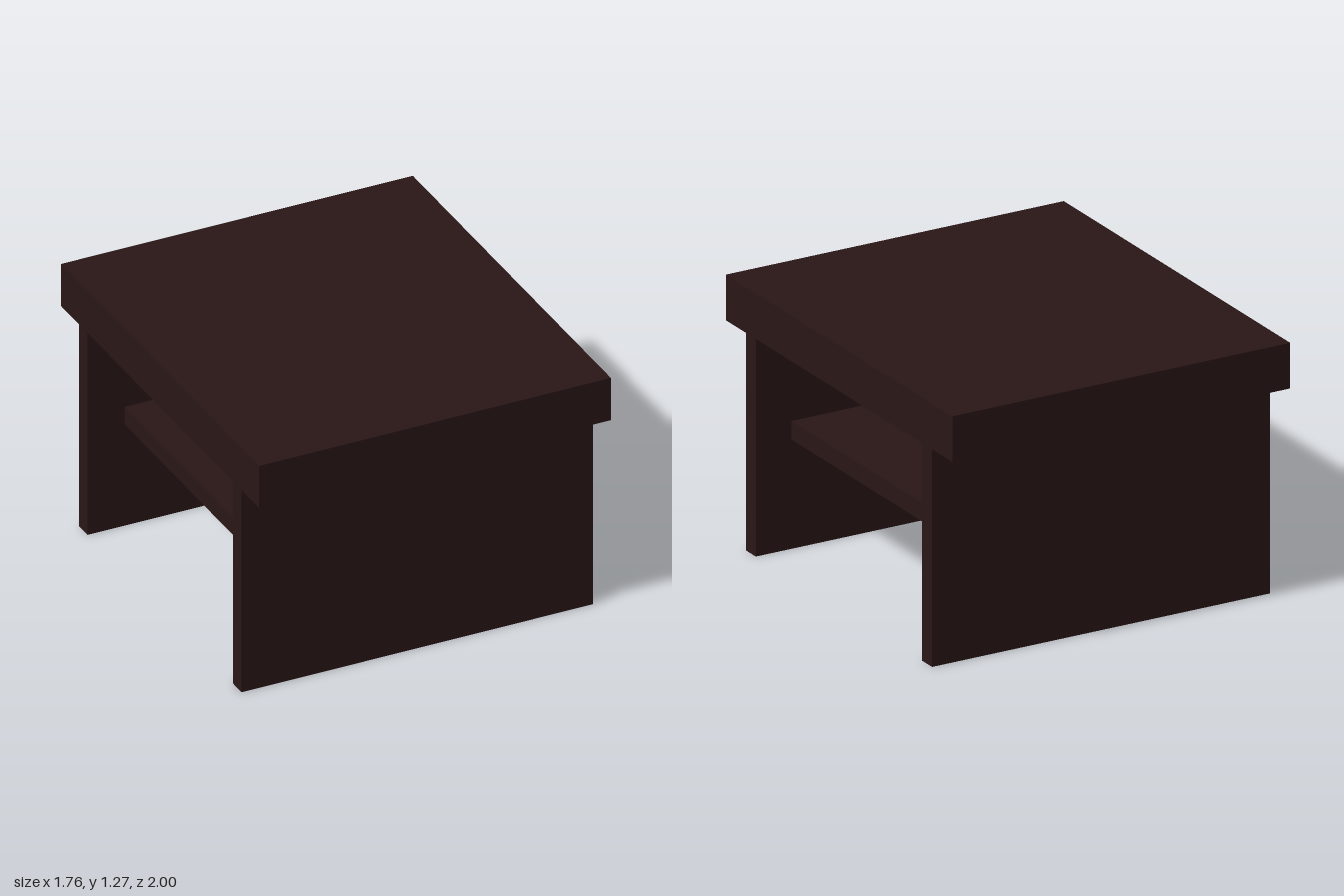
import * as THREE from 'three';

export function createModel() {
  const model = new THREE.Group();
  model.name = 'sideTable';
  const wood = new THREE.MeshStandardMaterial({ color: 0x2a1717 });

  // Adds a board given its width, vertical span and depth span
  function board(name, width, y0, y1, z0, z1) {
    const mesh = new THREE.Mesh(new THREE.BoxGeometry(width, y1 - y0, z1 - z0), wood);
    mesh.position.set(0, (y0 + y1) / 2, (z0 + z1) / 2);
    mesh.name = name;
    model.add(mesh);
  }

  // Thick top slab
  board('tableTop', 1.76, 1.05, 1.27, -1, 1);

  // Full-width panel legs
  board('frontLegPanel', 1.76, 0, 1.05, 0.735, 0.822);
  board('backLegPanel', 1.76, 0, 1.05, -0.822, -0.735);

  // Narrower shelf between the legs
  board('shelf', 1.39, 0.528, 0.617, -0.735, 0.735);

  return model;
}
